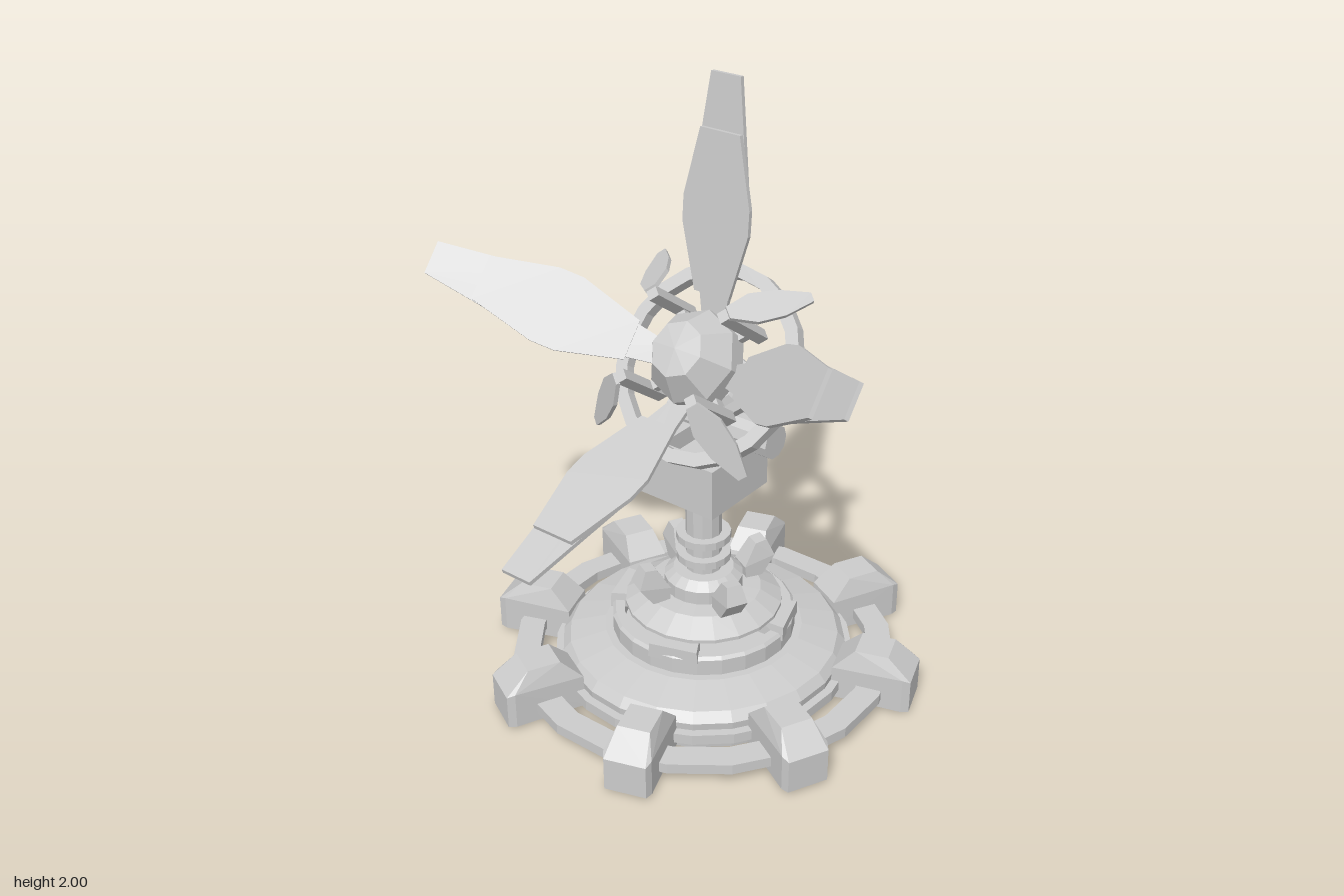
import * as THREE from 'three';
import { ConvexGeometry } from 'three/addons/geometries/ConvexGeometry.js';

const material = new THREE.MeshStandardMaterial({ color: 0xcccccc, flatShading: true, side: THREE.DoubleSide });

function part(parent, name, geometry, x = 0, y = 0, z = 0) {
  const mesh = new THREE.Mesh(geometry, material);
  mesh.name = name;
  mesh.position.set(x, y, z);
  parent.add(mesh);
  return mesh;
}

function group(parent, name, x = 0, y = 0, z = 0) {
  const g = new THREE.Group();
  g.name = name;
  g.position.set(x, y, z);
  parent.add(g);
  return g;
}

const lathe = (points, sides) => new THREE.LatheGeometry(points.map(p => new THREE.Vector2(...p)), sides);

// Flat plate in the xy plane, mirrored about x = 0, from [distance, halfWidth] stations
function plate(stations, thickness) {
  const right = stations.map(([d, w]) => new THREE.Vector2(w, d));
  const left = stations.map(([d, w]) => new THREE.Vector2(-w, d)).reverse();
  return new THREE.ExtrudeGeometry(new THREE.Shape([...right, ...left]), { depth: thickness, bevelEnabled: false });
}

// Convex block from stations of [radius, height, halfWidth], pointing along +z
function block(stations) {
  return new ConvexGeometry(stations.flatMap(([r, y, w]) => [new THREE.Vector3(-w, y, r), new THREE.Vector3(w, y, r)]));
}

function buildBase(parent) {
  const base = group(parent, 'base');
  part(base, 'baseDisc', lathe([[0, 0], [0.465, 0], [0.475, 0.1], [0.45, 0.13], [0.33, 0.16], [0, 0.16]], 24));
  part(base, 'deckWall', lathe([[0.305, 0.14], [0.305, 0.215], [0.295, 0.225], [0.265, 0.225], [0.265, 0.14]], 24));
  part(base, 'outerRing', lathe([[0.555, 0.04], [0.64, 0.04], [0.64, 0.075], [0.555, 0.075], [0.555, 0.04]], 20));
  part(base, 'innerRing', lathe([[0.47, 0.04], [0.5, 0.04], [0.5, 0.075], [0.47, 0.075]], 24));

  // Eight chamfered feet around the disc
  const foot = block([
    [0.725, 0.01, 0.068], [0.725, 0.125, 0.068], [0.7, 0.01, 0.078], [0.7, 0.135, 0.078], [0.645, 0.195, 0.053],
    [0.535, 0.195, 0.053], [0.465, 0.125, 0.07], [0.455, 0.01, 0.07],
  ]);
  for (let i = 0; i < 8; i++) part(base, 'foot', foot).rotation.y = i * Math.PI / 4;

  // Four supports carry the domed plate, four claws stand on it
  const support = block([[0.3, 0.2, 0.085], [0.3, 0.25, 0.08], [0.21, 0.25, 0.06], [0.21, 0.2, 0.06]]);
  const claw = block([
    [0.22, 0.43, 0.025], [0.245, 0.37, 0.037], [0.2, 0.305, 0.037],
    [0.14, 0.305, 0.037], [0.135, 0.35, 0.037], [0.18, 0.425, 0.025],
  ]);
  for (let i = 0; i < 4; i++) {
    part(base, 'plateSupport', support).rotation.y = (i + 0.5) * Math.PI / 2;
    part(base, 'claw', claw).rotation.y = i * Math.PI / 2;
  }
  part(base, 'domedPlate', lathe([[0, 0.25], [0.26, 0.25], [0.26, 0.262], [0.19, 0.305], [0.13, 0.31], [0.13, 0.355], [0.1, 0.38], [0, 0.38]], 20));

  // Pole with collars
  part(base, 'pole', new THREE.CylinderGeometry(0.06, 0.06, 0.53, 12), 0, 0.425, 0);
  for (const y of [0.43, 0.503]) part(base, 'collar', new THREE.CylinderGeometry(0.09, 0.09, 0.026, 16), 0, y, 0);
}

function buildMount(head) {
  // Yoke block with a pocket in its top
  const square = h => [[-h, -h], [h, -h], [h, h], [-h, h]].map(p => new THREE.Vector2(...p));
  const rim = new THREE.Shape(square(0.145));
  rim.holes.push(new THREE.Path(square(0.09)));
  const rimGeometry = new THREE.ExtrudeGeometry(rim, { depth: 0.06, bevelEnabled: false }).rotateX(-Math.PI / 2);
  part(head, 'yokeBlock', new THREE.BoxGeometry(0.29, 0.11, 0.29), 0, 0.735, 0);
  part(head, 'yokeRim', rimGeometry, 0, 0.79, 0);
  part(head, 'hingeBarrel', new THREE.CylinderGeometry(0.057, 0.057, 0.4, 10), 0, 0.862, -0.11).rotation.z = Math.PI / 2;
}

function buildFan(parent) {
  // Motor, shaft and faceted hub along the +z axis
  const motor = lathe([
    [0, -0.39], [0.06, -0.39], [0.065, -0.37], [0.085, -0.365], [0.097, -0.345], [0.097, -0.315], [0.085, -0.305],
    [0.085, -0.18], [0.1, -0.175], [0.1, -0.14], [0.075, -0.12], [0.055, -0.1], [0, -0.1],
  ], 12).rotateX(Math.PI / 2);
  part(parent, 'motor', motor, 0, -0.035, 0);
  part(parent, 'shaft', new THREE.CylinderGeometry(0.035, 0.035, 0.14, 10).rotateX(Math.PI / 2), 0, -0.015, -0.07);
  part(parent, 'hub', lathe([[0, -0.03], [0.08, -0.03], [0.152, 0.03], [0.152, 0.1], [0.09, 0.19], [0, 0.2]], 8).rotateX(Math.PI / 2));
  part(parent, 'guardRing', lathe([[0.283, -0.02], [0.326, -0.02], [0.326, 0.02], [0.283, 0.02], [0.283, -0.02]], 20).rotateX(Math.PI / 2));

  const longPlate = plate([[0.14, 0.035], [0.26, 0.055], [0.47, 0.105], [0.55, 0.105], [0.93, 0.053]], 0.014);
  const shortPlate = plate([[0.26, 0.065], [0.47, 0.122], [0.55, 0.122], [0.765, 0.072]], 0.014);
  const fin = plate([[0, 0.02], [0.08, 0.05], [0.17, 0.045], [0.27, 0.015]], 0.014);

  // The blades sit tipped slightly back from the guard ring
  const rotor = group(parent, 'rotor', 0, -0.02, 0);
  rotor.rotation.x = -0.045;
  for (let i = 0; i < 4; i++) {
    // Two-layer blade, leaning forward
    const arm = group(rotor, 'bladeArm');
    arm.rotation.z = i * Math.PI / 2;
    const blade = group(arm, 'blade', 0, 0, -0.027);
    blade.rotation.x = 34 * Math.PI / 180;
    part(blade, 'longPlate', longPlate, 0, 0, -0.014);
    part(blade, 'shortPlate', shortPlate);

    // Axial bar and swept-back fin between the blades
    const finArm = group(parent, 'finArm');
    finArm.rotation.z = (i + 0.5) * Math.PI / 2;
    part(finArm, 'bar', new THREE.BoxGeometry(0.035, 0.035, 0.24), 0, 0.19, 0.1);
    part(finArm, 'barStrut', new THREE.BoxGeometry(0.03, 0.08, 0.03), 0, 0.15, 0.05);
    part(finArm, 'fin', fin, 0, 0.2, 0.215).rotation.x = -0.74;
  }
}

export function createModel() {
  const model = new THREE.Group();
  model.name = 'windTurbine';
  const stand = group(model, 'stand', 0.025, 0, -0.063);
  buildBase(stand);

  // Head turned toward the right side, fan tilted upward
  const head = group(stand, 'head');
  head.rotation.y = -1.11;
  buildMount(head);
  const fan = group(head, 'fan', 0, 1.11, -0.02);
  fan.rotation.x = -36 * Math.PI / 180;
  buildFan(fan);
  return model;
}
